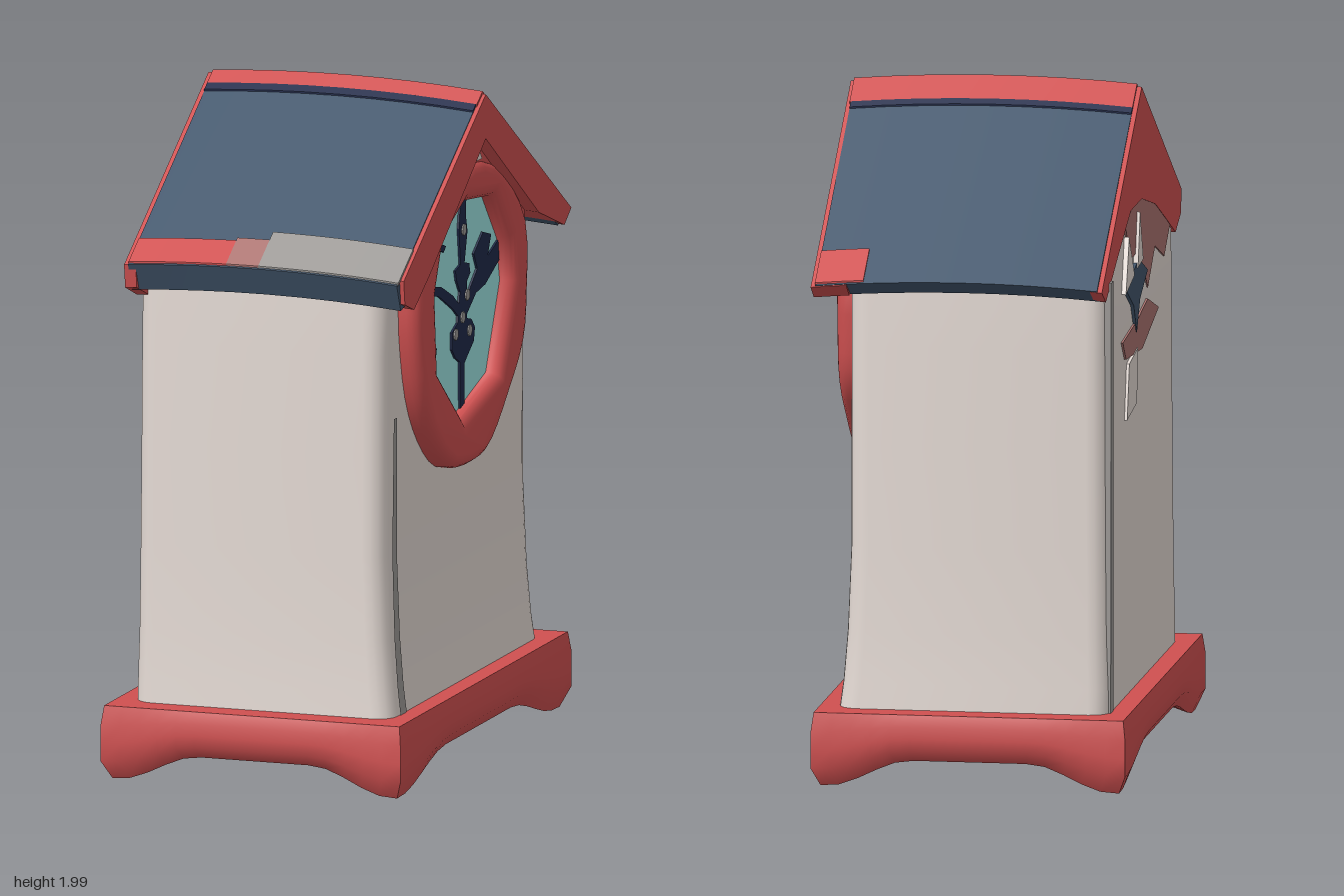
import * as THREE from 'three';
import { toCreasedNormals } from 'three/addons/utils/BufferGeometryUtils.js';

const paint = (name, color, extra = {}) => Object.assign(new THREE.MeshStandardMaterial({ color, ...extra }), { name });

export function createModel() {
  const red = paint('red trim', 0xcf5050);
  const blue = paint('slate blue', 0x42566c);
  const navy = paint('navy', 0x202a4a);
  const cream = paint('cream wall', 0xe4dad4, { side: THREE.DoubleSide });
  const cyan = paint('pale cyan', 0xa4eeec);
  const grey = paint('grey', 0x9c9996, { side: THREE.DoubleSide });
  const faded = paint('faded red', 0xac7471);

  const model = new THREE.Group();
  model.name = 'houseClock';
  const add = (name, geometry, material, parent = model) => {
    const mesh = new THREE.Mesh(geometry, material);
    mesh.name = name;
    parent.add(mesh);
  };
  const group = (name) => {
    const g = new THREE.Group();
    g.name = name;
    model.add(g);
    return g;
  };
  const moveVertices = (geo, rule) => {
    const p = geo.attributes.position;
    const v = new THREE.Vector3();
    for (let i = 0; i < p.count; i++) {
      v.fromBufferAttribute(p, i);
      rule(v);
      p.setXYZ(i, v.x, v.y, v.z);
    }
    geo.computeVertexNormals();
    return geo;
  };
  const toPoints = (pts) => pts.map(([u, y]) => new THREE.Vector2(u, y));

  // Profile drawn in (-z, y), extruded along x from x0 to x1
  const slab = (shape, x0, x1, options = {}) => {
    const geo = new THREE.ExtrudeGeometry(Array.isArray(shape) ? new THREE.Shape(toPoints(shape)) : shape,
      { depth: x1 - x0, bevelEnabled: false, ...options });
    return geo.rotateY(Math.PI / 2).translate(x0, 0, 0);
  };

  // Base: thick slab with a rounded rim and a foot at each corner
  const base = new THREE.BoxGeometry(0.93, 0.22, 1.48, 16, 4, 20);
  moveVertices(base, (v) => {
    const a = Math.abs(v.x) / 0.465, b = Math.abs(v.z) / 0.74;
    const low = (0.11 - v.y) / 0.22;
    const foot = THREE.MathUtils.smoothstep(a * b, 0.4, 0.95);
    v.y = 0.225 - low * (0.14 + 0.08 * foot);
    const tuck = low > 0.9 ? 0.95 : low < 0.1 ? 0.985 : 1;
    v.x *= tuck;
    v.z *= tuck;
  });
  add('base', toCreasedNormals(base, 0.9), red);

  // Body: rounded rectangular sections, [y, back x, front x, half z]
  const sections = [
    [0.2, -0.4, 0.405, 0.65], [0.3, -0.4, 0.392, 0.645], [0.45, -0.397, 0.38, 0.64],
    [0.7, -0.395, 0.37, 0.637], [1.0, -0.393, 0.37, 0.635], [1.3, -0.392, 0.37, 0.632],
    [1.5, -0.39, 0.37, 0.63], [1.7, -0.388, 0.37, 0.3], [1.88, -0.385, 0.37, 0.03],
  ];
  const pos = [], index = [], steps = 5, n = 4 * steps;
  for (const [y, xa, xb, hz] of sections) {
    const r = Math.min(0.06, hz * 0.5);
    for (let c = 0; c < 4; c++) {
      for (let s = 0; s < steps; s++) {
        const t = (c + s / (steps - 1)) * Math.PI / 2;
        const cx = c === 0 || c === 3 ? xb - r : xa + r;
        const cz = c < 2 ? hz - r : r - hz;
        pos.push(cx + r * Math.cos(t), y, cz + r * Math.sin(t));
      }
    }
  }
  for (let j = 0; j < sections.length - 1; j++) {
    for (let i = 0; i < n; i++) {
      const a = j * n + i, b = j * n + (i + 1) % n;
      index.push(a, a + n, b, b, a + n, b + n);
    }
  }
  const body = new THREE.BufferGeometry();
  body.setAttribute('position', new THREE.Float32BufferAttribute(pos, 3));
  body.setIndex(index);
  body.computeVertexNormals();
  add('body', toCreasedNormals(body, 0.6), cream);

  // Grey streaks near two corners; the front one follows the curved wall
  const wallX = (y) => {
    const i = sections.findIndex((s) => s[0] > y);
    const [a, b] = [sections[i - 1], sections[i]];
    return THREE.MathUtils.mapLinear(y, a[0], b[0], a[2], b[2]);
  };
  const streak = new THREE.PlaneGeometry(0.05, 0.88, 1, 20).rotateY(Math.PI / 2).translate(0, 0.66, 0.55);
  moveVertices(streak, (v) => {
    v.x = wallX(v.y) + 0.004;
    v.z = 0.528 + (v.z - 0.55) * (1.2 - 0.6 * v.y) + 0.02 * (1.1 - v.y);
  });
  add('frontStreak', streak, grey);
  add('backStreak', slab([[0.56, 0.22], [0.61, 0.22], [0.6, 1.5], [0.56, 1.5]], -0.402, -0.38), grey);
  add('wallSmudge', slab([[0.4, 1.06], [0.45, 1.02], [0.465, 1.04], [0.44, 1.1]], 0.36, 0.374), faded);

  // Roof: gabled slab, gently arched along its ridge
  const roof = group('roof');
  const arch = (geo) => toCreasedNormals(moveVertices(geo, (v) => { v.y -= 0.1 * v.x * v.x; }), 0.5);
  const roofY = (u) => 1.995 - Math.abs(u) * (u < 0 ? 0.59 : 0.65);
  const roofLayer = (name, pts, x0, x1, mat) => add(name, arch(slab(pts, x0, x1, { steps: 8 })), mat, roof);
  roofLayer('roofSlopes', [[-0.7, 1.48], [-0.6, 1.5], [0, 1.88], [0.66, 1.47], [0.74, roofY(0.74)],
    [0, 1.995], [-0.735, roofY(-0.735)]], -0.382, 0.452, blue);
  const stripe = (name, u0, u1, x0, x1, mat) => {
    const h = 0.005;
    roofLayer(name, [[u0, roofY(u0) - h], [u1, roofY(u1) - h], [u1, roofY(u1) + h], [u0, roofY(u0) + h]], x0, x1, mat);
  };
  stripe('ridgeCap', -0.05, 0, -0.382, 0.455, red);
  stripe('ridgeCap', 0, 0.085, -0.382, 0.455, red);
  stripe('ridgeLine', -0.075, -0.05, -0.382, 0.452, navy);
  stripe('ridgeLine', 0.085, 0.105, -0.382, 0.452, navy);
  stripe('eaveStripeRed', -0.73, -0.64, -0.382, -0.08, red);
  stripe('eaveStripeFaded', -0.73, -0.63, -0.08, 0.02, faded);
  stripe('eaveStripeGrey', -0.73, -0.6, 0.02, 0.455, grey);
  stripe('cornerPatch', 0.62, 0.735, 0.31, 0.453, red);

  // Gables: front rim standing proud of a recessed panel, flat trim behind
  roofLayer('frontGableRim', [[-0.7, 1.5], [-0.62, 1.47], [-0.48, 1.55], [0, 1.86], [0.46, 1.55], [0.68, 1.47],
    [0.74, 1.51], [0, 1.992], [-0.71, 1.572]], 0.36, 0.465, red);
  roofLayer('frontGablePanel', [[-0.48, 1.52], [-0.25, 1.66], [0, 1.72], [0.25, 1.66], [0.46, 1.52],
    [0.46, 1.6], [0, 1.9], [-0.48, 1.6]], 0.36, 0.42, red);
  roofLayer('gableVent', [[-0.075, 1.785], [0.075, 1.78], [0.02, 1.845], [-0.02, 1.845]], 0.41, 0.427, cream);
  roofLayer('backGableTrim', [[-0.72, 1.49], [-0.62, 1.45], [-0.45, 1.52], [-0.25, 1.6], [0, 1.66], [0.2, 1.66],
    [0.45, 1.56], [0.66, 1.47], [0.735, 1.51], [0, 1.992], [-0.73, 1.56]], -0.396, -0.36, red);

  // Clock: heavy rounded ring, recessed dial and branching hands
  const clock = group('clock');
  const hole = [[-0.33, 1.43], [-0.26, 1.58], [-0.06, 1.66], [0.18, 1.63], [0.31, 1.48], [0.34, 1.34],
    [0.22, 1.09], [-0.08, 1.01], [-0.31, 1.2]];
  const grow = (k) => hole.map(([u, y]) => [u * k, (y - 1.34) * k + 1.34]);
  const rim = new THREE.SplineCurve(toPoints([[-0.45, 1.5], [-0.45, 1.35], [-0.4, 1.16], [-0.3, 1.02], [-0.16, 0.925],
    [0.02, 0.905], [0.14, 0.93], [0.28, 1.04], [0.4, 1.16], [0.43, 1.3], [0.42, 1.5], [0.24, 1.66], [0, 1.73],
    [-0.24, 1.66], [-0.45, 1.5]]));
  const ringShape = new THREE.Shape(rim.getPoints(42).slice(0, -1));
  ringShape.holes.push(new THREE.Path(toPoints(grow(1.12))));
  add('clockRing', toCreasedNormals(slab(ringShape, 0.36, 0.395,
    { bevelEnabled: true, bevelSize: 0.04, bevelThickness: 0.04, bevelSegments: 4 }), 0.9), red, clock);
  add('dial', slab(grow(1.06), 0.36, 0.386), cyan, clock);
  const mark = (name, pts) => add(name, slab(pts, 0.38, 0.392), navy, clock);
  mark('uprightHand', [[-0.018, 1.03], [0.018, 1.03], [0.02, 1.16], [0.05, 1.18], [0.1, 1.21], [0.11, 1.25],
    [0.08, 1.28], [0.04, 1.29], [0.04, 1.4], [0.07, 1.42], [0.06, 1.45], [0.02, 1.46], [0.045, 1.55], [0.03, 1.6],
    [0.035, 1.65], [-0.015, 1.65], [-0.03, 1.57], [-0.015, 1.46], [-0.06, 1.45], [-0.05, 1.42], [-0.02, 1.38],
    [-0.04, 1.29], [-0.09, 1.27], [-0.09, 1.22], [-0.06, 1.19], [-0.02, 1.17]]);
  mark('leftHand', [[-0.33, 1.43], [-0.2, 1.4], [-0.08, 1.34], [-0.02, 1.3], [-0.02, 1.34], [-0.08, 1.38],
    [-0.18, 1.425], [-0.33, 1.455]]);
  mark('rightHand', [[0.02, 1.29], [0.12, 1.35], [0.2, 1.36], [0.32, 1.41], [0.31, 1.47], [0.22, 1.44], [0.25, 1.5],
    [0.18, 1.52], [0.1, 1.47], [0.13, 1.42], [0.02, 1.34]]);
  mark('lowerTick', [[-0.32, 1.22], [-0.23, 1.215], [-0.22, 1.25], [-0.31, 1.24]]);
  mark('upperTick', [[-0.24, 1.55], [-0.16, 1.525], [-0.14, 1.54], [-0.22, 1.565]]);
  for (const [u, y] of [[0.01, 1.56], [0.04, 1.36], [0, 1.3], [-0.06, 1.26], [0.06, 1.25]]) {
    const dot = new THREE.Shape().absarc(u, y, 0.017, 0, Math.PI * 2);
    add('dot', slab(dot, 0.38, 0.396, { curveSegments: 5 }), grey, clock);
  }

  // Ragged worn patch on the back wall
  const worn = group('backPatch');
  const patch = (name, pts, x, mat) => add(name, slab(pts, x, -0.38), mat, worn);
  patch('wornUpper', [[-0.56, 1.5], [-0.42, 1.4], [-0.25, 1.46], [-0.12, 1.36], [0.05, 1.5], [0.2, 1.5],
    [0.3, 1.62], [0, 1.68], [-0.4, 1.56]], -0.395, faded);
  patch('wornLower', [[-0.3, 1.27], [0, 1.2], [0.3, 1.22], [0.36, 1.28], [0.1, 1.3], [-0.1, 1.33]], -0.398, faded);
  patch('darkBlot', [[-0.08, 1.42], [0.06, 1.36], [0.12, 1.27], [0.18, 1.36], [0.3, 1.42], [0.2, 1.46], [0.08, 1.48]], -0.401, blue);
  patch('paleShard', [[0.18, 1.45], [0.34, 1.42], [0.28, 1.58]], -0.404, cream);
  patch('paleShard', [[0.02, 1.47], [0.12, 1.46], [0.08, 1.62]], -0.404, cream);
  patch('paleChip', [[0.12, 1.06], [0.3, 1.04], [0.26, 1.2], [0.1, 1.22]], -0.401, cream);

  return model;
}
